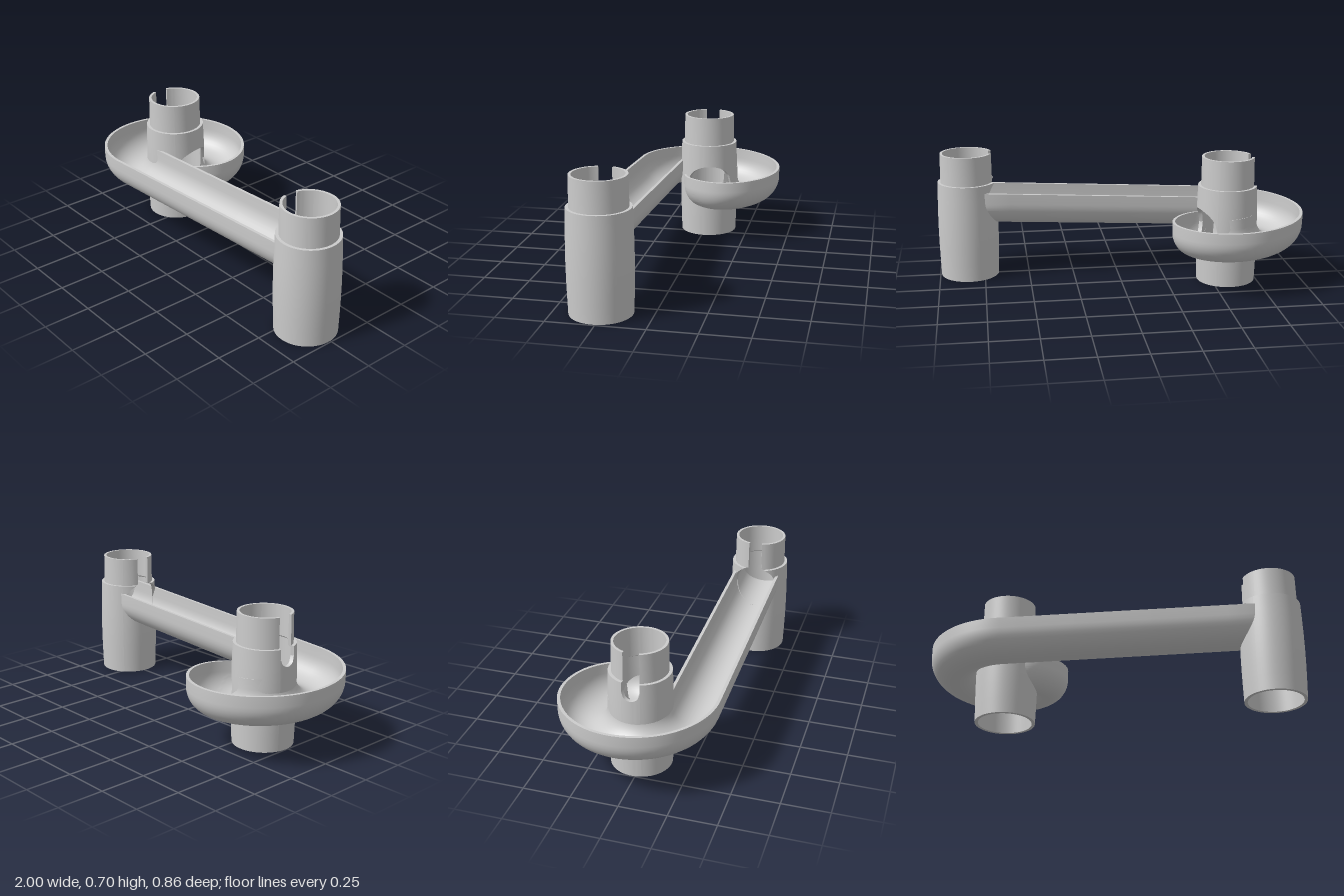
import * as THREE from 'three';
import { toCreasedNormals } from 'three/addons/utils/BufferGeometryUtils.js';

const plastic = new THREE.MeshStandardMaterial({ color: 0xcccccc });
plastic.name = 'light grey plastic';

// Skins a row of closed thin-walled sections: first half outer side, second half the inner side reversed
function loft(sections) {
  const m = sections[0].length;
  const pos = sections.flat().flatMap((p) => [p.x, p.y, p.z]);
  const index = [];
  const quad = (a, b, c, d) => index.push(a, b, c, a, c, d);
  for (let i = 0; i < sections.length - 1; i++) {
    for (let j = 0; j < m; j++) {
      const k = (j + 1) % m;
      quad(i * m + j, i * m + k, (i + 1) * m + k, (i + 1) * m + j);
    }
  }
  // End caps
  const last = (sections.length - 1) * m;
  for (let j = 0; j < m / 2 - 1; j++) {
    quad(j, m - 1 - j, m - 2 - j, j + 1);
    quad(last + j, last + j + 1, last + m - 2 - j, last + m - 1 - j);
  }
  // Turn the faces outward when the signed volume is negative
  const v = sections.flat();
  let volume = 0;
  for (let i = 0; i < index.length; i += 3) {
    volume += v[index[i]].dot(v[index[i + 1]].clone().cross(v[index[i + 2]]));
  }
  if (volume < 0) index.reverse();
  const geo = new THREE.BufferGeometry();
  geo.setAttribute('position', new THREE.Float32BufferAttribute(pos, 3));
  geo.setIndex(index);
  return toCreasedNormals(geo, 0.6);
}

function addMesh(group, name, geo) {
  const mesh = new THREE.Mesh(geo, plastic);
  mesh.name = name;
  group.add(mesh);
}

// Tower dimensions: bulged body with a narrower socket on top
const TOP = 0.7, STEP = 0.54;
const bodyRadius = (y) => 0.161 + 0.006 * Math.sin((Math.PI * y) / STEP);
const outerRows = [0, 0.09, 0.18, 0.27, 0.36, 0.45, STEP].map((y) => [y, bodyRadius(y)]);
outerRows.push([STEP, 0.145], [TOP, 0.143]);
const innerRows = outerRows.map(([y], i) => [i < 7 ? Math.min(y, 0.53) : y, i < 7 ? 0.144 : 0.129]);

// Piece of tower wall between two angles, limited in height by lo(a) and hi(a)
function wall(cx, cz, a0, a1, lo, hi) {
  const n = Math.max(6, Math.ceil((a1 - a0) / 0.08));
  const sections = [];
  for (let i = 0; i <= n; i++) {
    const a = a0 + ((a1 - a0) * i) / n;
    const bottom = lo(a), top = hi(a);
    const place = (rows, radiusAt) => rows.map(([y, r]) => {
      const h = Math.min(Math.max(y, bottom), top);
      const rr = h === y ? r : radiusAt(h);
      return new THREE.Vector3(cx + rr * Math.cos(a), h, cz + rr * Math.sin(a));
    });
    const outer = place(outerRows, (h) => (h > STEP ? 0.144 : bodyRadius(h)));
    const inner = place(innerRows, (h) => (h > STEP ? 0.129 : 0.144));
    sections.push([...outer, ...inner.reverse()]);
  }
  return loft(sections);
}

// Channel dimensions
const RO = 0.133, RI = 0.117, LIP = 0.057;
const A = { x: 0.832, z: 0.263 };
const B = { x: -0.586, z: -0.015 };

// U-shaped section as [outward, up] pairs, cut off on the inner side at uMin
function channelSection(uMin) {
  const side = (r) => {
    const end = Math.acos(Math.min(1, Math.max(-1, uMin / r)));
    const pts = [[r, LIP]];
    for (let i = 0; i <= 20; i++) {
      const t = (end * i) / 20;
      pts.push([r * Math.cos(t), -r * Math.sin(t)]);
    }
    pts.push(uMin <= -r ? [-r, LIP] : pts[pts.length - 1].slice());
    return pts;
  };
  return [...side(RO), ...side(RI).reverse()];
}

function channelGeometry() {
  const sections = [];
  // Straight run, its first end following the far wall of the start tower
  const axisY = (x) => 0.368 + 0.053 * (x - B.x);
  for (const x of [null, 0.6, 0.2, -0.2, -0.5]) {
    sections.push(channelSection(-1).map(([u, v]) => {
      const px = x === null ? A.x + Math.sqrt(0.146 ** 2 - u * u) : x;
      return new THREE.Vector3(px, axisY(px) + v, A.z + u);
    }));
  }
  // Spiral around the end tower: [degrees, radius of the outer rim], eased between the stations
  const rim = [[0, 0.411], [45, 0.411], [90, 0.412], [135, 0.415], [180, 0.418],
    [215, 0.4], [246, 0.356], [278, 0.262], [319, 0.167]];
  const spiral = new THREE.CatmullRomCurve3(
    rim.map(([deg, r]) => new THREE.Vector3(THREE.MathUtils.degToRad(deg), r, 0)));
  const sweep = THREE.MathUtils.degToRad(319);
  for (const { x: t, y: outerRadius } of spiral.getPoints(80)) {
    const r = outerRadius - RO;
    const y = 0.368 - (0.07 * t) / sweep;
    sections.push(channelSection(0.143 - r).map(([u, v]) => new THREE.Vector3(
      B.x - Math.sin(t) * (r + u), y + v, B.z + Math.cos(t) * (r + u))));
  }
  return loft(sections);
}

export function createModel() {
  const model = new THREE.Group();
  model.name = 'ballTrack';
  const floor = () => 0, top = () => TOP;
  const PI = Math.PI;

  // Start tower: bore towards the channel with a slot above it
  const start = new THREE.Group();
  start.name = 'startTower';
  const boreHalf = Math.asin(RI / 0.15), slotA = 0.27;
  const bore = (a) => Math.sqrt(Math.max(0, RI ** 2 - (0.15 * Math.sin(a)) ** 2));
  const above = (a) => 0.435 + bore(a), below = (a) => 0.435 - bore(a);
  addMesh(start, 'startWall', wall(A.x, A.z, boreHalf - PI, PI - boreHalf, floor, top));
  addMesh(start, 'wallUnderChannel', wall(A.x, A.z, PI - boreHalf, PI + boreHalf, floor, below));
  addMesh(start, 'slotSideFront', wall(A.x, A.z, PI - boreHalf, PI - slotA, above, top));
  addMesh(start, 'slotSideBack', wall(A.x, A.z, PI + slotA, PI + boreHalf, above, top));
  model.add(start);

  // End tower: slot with a rounded foot, and an oval inlet where the spiral enters
  const end = new THREE.Group();
  end.name = 'endTower';
  const slotB = 0.3, inlet = -0.2, inletHalf = 0.85;
  const slotFoot = (a) => 0.49 - 0.045 * Math.sqrt(Math.max(0, 1 - ((a - PI) / slotB) ** 2));
  const oval = (a) => 0.113 * Math.sqrt(Math.max(0, 1 - ((a - inlet) / inletHalf) ** 2));
  const i0 = inlet - inletHalf, i1 = inlet + inletHalf;
  addMesh(end, 'endWallFront', wall(B.x, B.z, i1, PI - slotB, floor, top));
  addMesh(end, 'endWallBack', wall(B.x, B.z, slotB - PI, i0, floor, top));
  addMesh(end, 'wallUnderSlot', wall(B.x, B.z, PI - slotB, PI + slotB, floor, slotFoot));
  addMesh(end, 'wallUnderInlet', wall(B.x, B.z, i0, i1, floor, (a) => 0.305 - oval(a)));
  addMesh(end, 'wallOverInlet', wall(B.x, B.z, i0, i1, (a) => 0.305 + oval(a), top));
  model.add(end);

  addMesh(model, 'channel', channelGeometry());
  return model;
}
